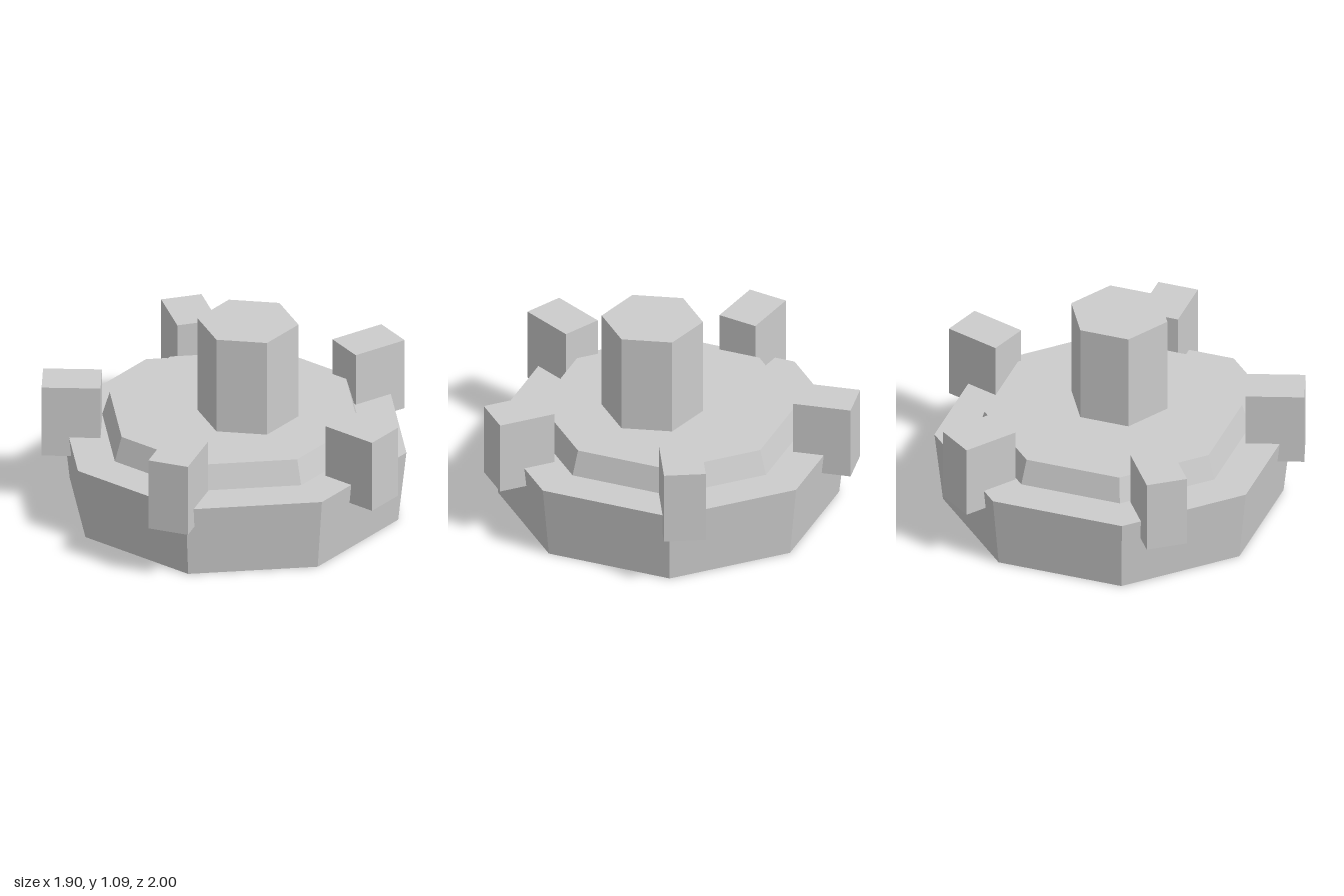
import * as THREE from 'three';

const CENTRE_X = -0.069; // shared axis of the tiers and the ring of blocks

export function createModel() {
  const model = new THREE.Group();
  model.name = 'turretBase';
  const stone = new THREE.MeshStandardMaterial({ color: 0xcccccc, flatShading: true });
  stone.name = 'light grey';

  const add = (name, geometry, x, y, z) => {
    const mesh = new THREE.Mesh(geometry, stone);
    mesh.name = name;
    mesh.position.set(x, y, z);
    model.add(mesh);
    return mesh;
  };

  // Octagonal tier given by the distance from its axis to the flat sides
  const tier = (name, topApothem, bottomApothem, y0, y1) => {
    const k = 1 / Math.cos(Math.PI / 8);
    const geometry = new THREE.CylinderGeometry(
      topApothem * k, bottomApothem * k, y1 - y0, 8, 1, false, Math.PI / 8);
    add(name, geometry, CENTRE_X, (y0 + y1) / 2, 0);
  };
  tier('base', 0.875, 0.833, 0, 0.405);
  tier('upperTier', 0.63, 0.668, 0.405, 0.54);

  // Hexagonal post, slightly off the axis of the tiers
  add('centrePost', new THREE.CylinderGeometry(0.27, 0.27, 0.545, 6), 0.025, 0.8125, 0);

  // Five blocks straddling the rim
  const block = new THREE.BoxGeometry(0.312, 0.404, 0.222);
  for (let i = 0; i < 5; i++) {
    const a = (i * Math.PI * 2) / 5;
    const radius = 0.858;
    const mesh = add('rimBlock' + (i + 1), block,
      CENTRE_X + radius * Math.cos(a), 0.497, -radius * Math.sin(a));
    mesh.rotation.y = a;
  }
  return model;
}
